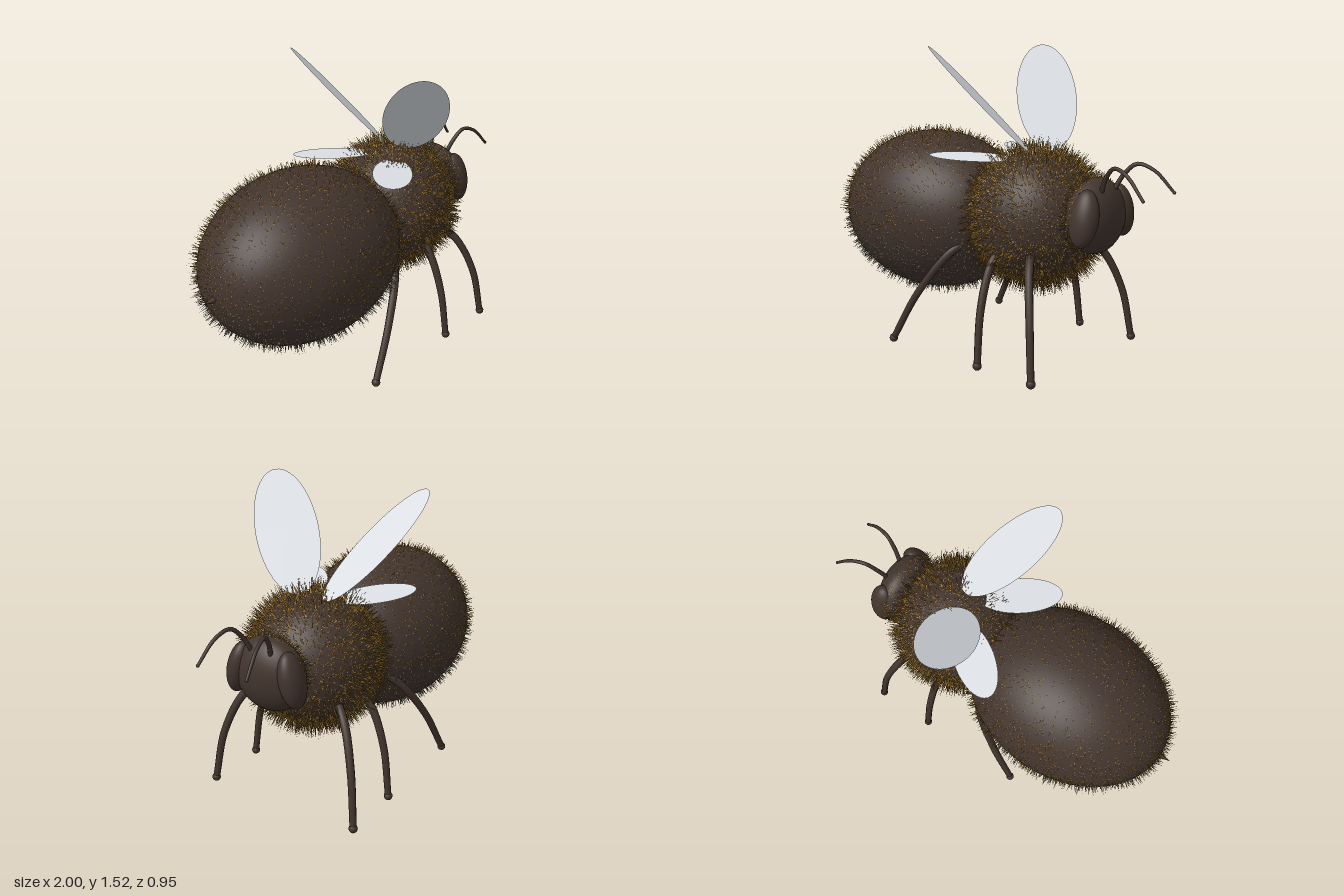
import * as THREE from 'three';
import { mergeGeometries } from 'three/addons/utils/BufferGeometryUtils.js';

const mat = (name, color, side = THREE.FrontSide) => {
  const m = new THREE.MeshStandardMaterial({ color, side });
  m.name = name;
  return m;
};
const V = (x, y, z) => new THREE.Vector3(x, y, z);

export function createModel() {
  const bee = new THREE.Group();
  bee.name = 'bee';
  const body = new THREE.Group();
  body.name = 'body';
  body.position.z = -0.01;
  bee.add(body);

  const brown = mat('dark brown', 0x42342d);
  const gold = mat('golden fur', 0xa47a34);
  const pale = mat('pale fur', 0x9a9278);
  const glass = mat('wing grey', 0xdfe3e8, THREE.DoubleSide);

  const add = (name, geo, material) => {
    const m = new THREE.Mesh(geo, material);
    m.name = name;
    body.add(m);
    return m;
  };
  const ellipsoid = (name, c, r) => {
    const m = add(name, new THREE.SphereGeometry(1, 48, 32), brown);
    m.position.copy(c);
    m.scale.copy(r);
    return m;
  };

  // Seeded random numbers for the fur
  let seed = 12345;
  const rnd = () => {
    seed = (seed * 1664525 + 1013904223) % 4294967296;
    return seed / 4294967296;
  };

  // Thin three-sided hairs standing on an ellipsoid, spread by a golden spiral;
  // their normals lean towards the skin's so the coat shades softly
  function fur(c, r, count, minLen, maxLen, width, keep) {
    const pos = [], nor = [];
    for (let i = 0; i < count; i++) {
      const t = 1 - (2 * (i + rnd())) / count;
      const a = i * 2.39996 + rnd() * 0.5;
      const s = Math.sqrt(Math.max(0, 1 - t * t));
      const u = V(t, s * Math.cos(a), s * Math.sin(a));
      const tint = rnd();
      const root = u.clone().multiply(r).add(c);
      const n = u.clone().divide(r).normalize();
      const dir = n.clone()
        .add(V(rnd() - 0.5, rnd() - 0.5, rnd() - 0.5).multiplyScalar(0.7)).normalize();
      const tip = root.clone().addScaledVector(dir, minLen + (maxLen - minLen) * rnd());
      if (!keep(u, tint)) continue;
      const e1 = V(-n.y, n.x, 0.01).cross(n).normalize();
      const e2 = n.clone().cross(e1);
      const out = [0, 1, 2].map((k) => e1.clone().multiplyScalar(Math.cos(k * 2.0944))
        .addScaledVector(e2, Math.sin(k * 2.0944)));
      const ring = out.map((o) => root.clone().addScaledVector(o, width).addScaledVector(n, -0.004));
      const soft = out.map((o) => n.clone().addScaledVector(o, 0.6).normalize());
      for (let k = 0; k < 3; k++) {
        const j = (k + 1) % 3;
        for (const p of [ring[k], ring[j], tip]) pos.push(p.x, p.y, p.z);
        for (const q of [soft[k], soft[j], n]) nor.push(q.x, q.y, q.z);
      }
    }
    const g = new THREE.BufferGeometry();
    g.setAttribute('position', new THREE.Float32BufferAttribute(pos, 3));
    g.setAttribute('normal', new THREE.Float32BufferAttribute(nor, 3));
    return g;
  }

  // Abdomen: golden hairs above, pale hairs below
  const abC = V(-0.385, 0.64, 0), abR = V(0.56, 0.425, 0.43);
  ellipsoid('abdomen', abC, abR);
  const upper = (u, tint) => u.y + (tint - 0.5) * 0.3 > -0.15;
  add('abdomenUpperFur', fur(abC, abR, 4000, 0.015, 0.05, 0.0027, upper), gold);
  add('abdomenLowerFur', fur(abC, abR, 4000, 0.015, 0.055, 0.0027, (u, t) => !upper(u, t)), pale);

  // Stinger
  const sting = add('stinger', new THREE.ConeGeometry(0.025, 0.09, 16), brown);
  sting.rotation.z = Math.PI / 2;
  sting.position.set(-0.955, 0.625, 0);

  // Thorax with a thick golden coat
  const thC = V(0.305, 0.69, 0), thR = V(0.325, 0.325, 0.32);
  ellipsoid('thorax', thC, thR);
  add('thoraxFur', fur(thC, thR, 5000, 0.03, 0.09, 0.0034, () => true), gold);

  // Head with a short golden coat on its back
  const hdC = V(0.66, 0.74, 0), hdR = V(0.112, 0.182, 0.19);
  ellipsoid('head', hdC, hdR);
  add('headFur', fur(hdC, hdR, 1100, 0.015, 0.04, 0.003, (u) => u.x < 0.05), gold);

  // Round tube that narrows from r0 to r1, with a ball at its end
  function limb(points, r0, r1, ballR) {
    const curve = new THREE.CatmullRomCurve3(points);
    const seg = 24, sides = 10;
    const g = new THREE.TubeGeometry(curve, seg, 1, sides);
    const p = g.attributes.position, v = V(0, 0, 0);
    for (let i = 0; i <= seg; i++) {
      const c = curve.getPointAt(i / seg), r = r0 + (r1 - r0) * (i / seg);
      for (let j = 0; j <= sides; j++) {
        const k = i * (sides + 1) + j;
        v.fromBufferAttribute(p, k).sub(c).multiplyScalar(r).add(c);
        p.setXYZ(k, v.x, v.y, v.z);
      }
    }
    const end = points[points.length - 1];
    const ball = new THREE.SphereGeometry(ballR, 14, 10).translate(end.x, end.y, end.z);
    return mergeGeometries([g, ball]);
  }

  // Flat elliptical wing given by its centre, long direction and normal
  function wing(name, c, along, normal, a, b) {
    const x = along.clone().normalize();
    const z = normal.clone().addScaledVector(x, -normal.dot(x)).normalize();
    const y = z.clone().cross(x);
    const m = add(name, new THREE.CircleGeometry(1, 56).scale(a, b, 1), glass);
    m.quaternion.setFromRotationMatrix(new THREE.Matrix4().makeBasis(x, y, z));
    m.position.copy(c);
  }

  const legs = {
    frontLeg: [[0.43, 0.58, 0.2], [0.5, 0.49, 0.3], [0.57, 0.29, 0.38], [0.612, 0.022, 0.42]],
    middleLeg: [[0.262, 0.58, 0.2], [0.266, 0.49, 0.3], [0.273, 0.29, 0.38], [0.285, 0.022, 0.42]],
    rearLeg: [[0.06, 0.58, 0.2], [-0.02, 0.49, 0.3], [-0.16, 0.28, 0.38], [-0.3, 0.022, 0.42]],
  };

  // Paired parts: the model looks along +x, so the sides are +z and -z
  for (const [side, s] of [['A', 1], ['B', -1]]) {
    const P = (x, y, z) => V(x, y, z * s);
    const eye = ellipsoid('eye' + side, P(0.693, 0.752, 0.148), V(0.073, 0.135, 0.058));
    eye.rotation.x = -0.22 * s;
    for (const [name, pts] of Object.entries(legs)) {
      add(name + side, limb(pts.map((q) => P(...q)), 0.022, 0.017, 0.022), brown);
    }
    add('antenna' + side, limb([
      P(0.715, 0.85, 0.05), P(0.76, 0.94, 0.075), P(0.815, 0.99, 0.095),
      P(0.895, 0.965, 0.115), P(0.99, 0.87, 0.135),
    ], 0.012, 0.007, 0.008), brown);
    wing('foreWing' + side, P(0.165, 1.265, 0.255), P(-0.46, 0.72, 0.52), P(0.57, 0.69, -0.44), 0.355, 0.158);
    wing('hindWing' + side, P(0.06, 0.985, 0.205), P(-0.8, 0.04, 0.58), P(0.08, 1, 0.06), 0.21, 0.1);
  }
  return bee;
}
